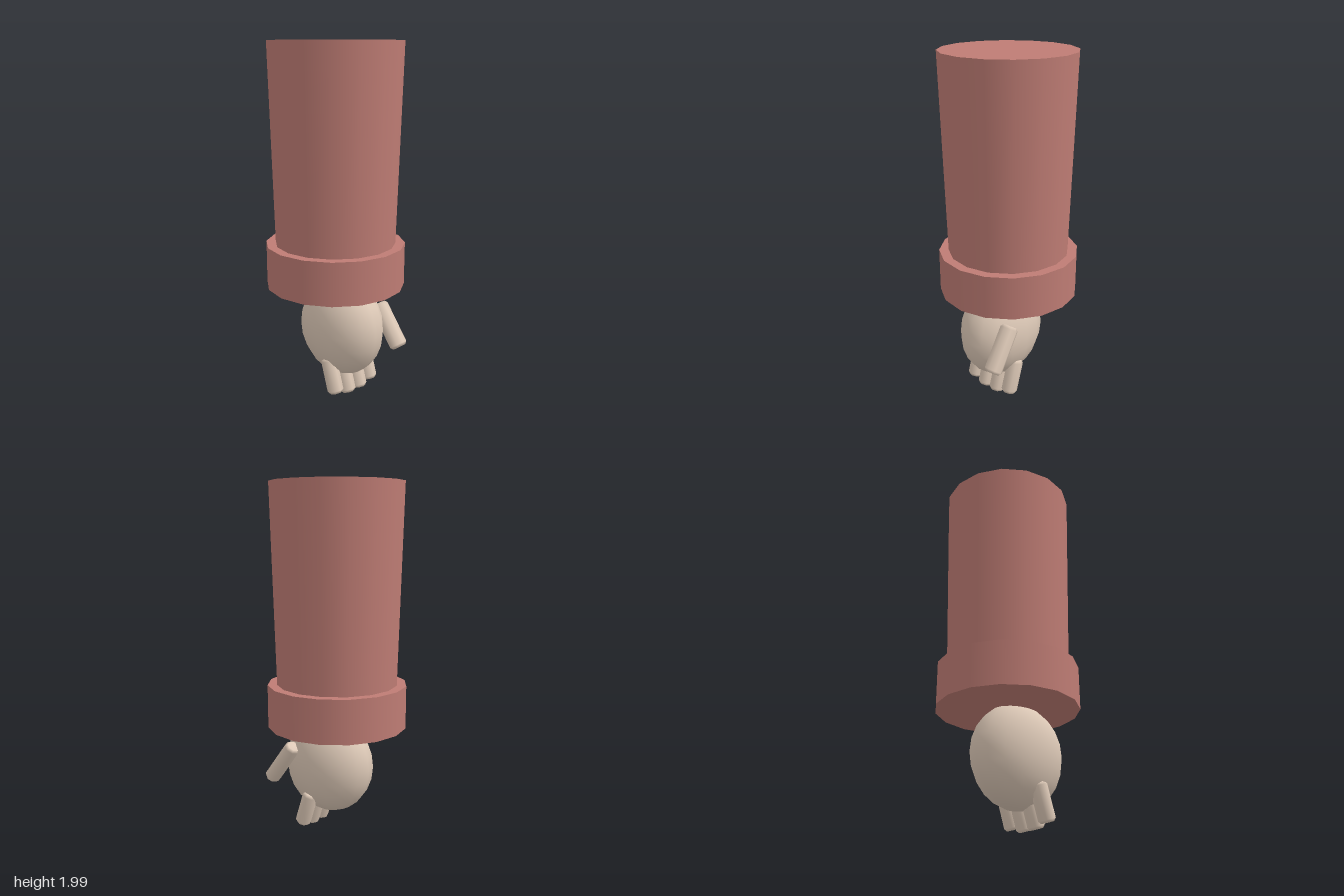
import * as THREE from 'three';

export function createModel() {
  const model = new THREE.Group();
  const fabric = new THREE.MeshStandardMaterial({ color: 0xbe7c74 });
  fabric.name = 'dusty red fabric';
  const skin = new THREE.MeshStandardMaterial({ color: 0xdcc8b6 });
  skin.name = 'pale skin';

  const add = (name, geometry, material, x, y, z) => {
    const mesh = new THREE.Mesh(geometry, material);
    mesh.name = name;
    mesh.position.set(x, y, z);
    model.add(mesh);
    return mesh;
  };

  // Tapered sleeve and its wider cuff
  add('sleeve', new THREE.CylinderGeometry(0.372, 0.342, 1.16, 16), fabric, 0, 1.42, 0);
  add('cuff', new THREE.CylinderGeometry(0.397, 0.397, 0.245, 16), fabric, 0, 0.7625, 0);

  // Egg-shaped palm
  const palm = add('palm', new THREE.SphereGeometry(1, 16, 12), skin, 0.06, 0.395, 0.005);
  palm.scale.set(0.278, 0.29, 0.203);

  // Stubby digit with bevelled ends, running from one point to another
  const up = new THREE.Vector3(0, 1, 0);
  function digit(name, from, to, radius, depth) {
    const a = new THREE.Vector3(...from), b = new THREE.Vector3(...to);
    const h = a.distanceTo(b) / 2, bevel = 0.016;
    const profile = [
      [0, -h], [radius * 0.74, -h], [radius, -h + bevel],
      [radius, h - bevel], [radius * 0.74, h], [0, h],
    ].map(([r, y]) => new THREE.Vector2(r, y));
    const centre = a.clone().add(b).multiplyScalar(0.5);
    const mesh = add(name, new THREE.LatheGeometry(profile, 8), skin, centre.x, centre.y, centre.z);
    mesh.quaternion.setFromUnitVectors(up, a.sub(b).normalize());
    mesh.scale.z = depth;
  }

  // Four fingers side by side, the middle two reaching lower
  [0.135, 0.045, -0.045, -0.135].forEach((z, i) => {
    const drop = i === 1 || i === 2 ? 0.02 : 0;
    digit('finger' + (i + 1), [0.09 + drop * 0.35, 0.237 - drop, z],
      [0.154 + drop * 0.35, 0.04 - drop, z], 0.047, 0.98);
  });

  // Thumb lying on the back of the palm
  digit('thumb', [0.185, 0.515, -0.172], [0.348, 0.292, -0.182], 0.047, 1.16);

  return model;
}
